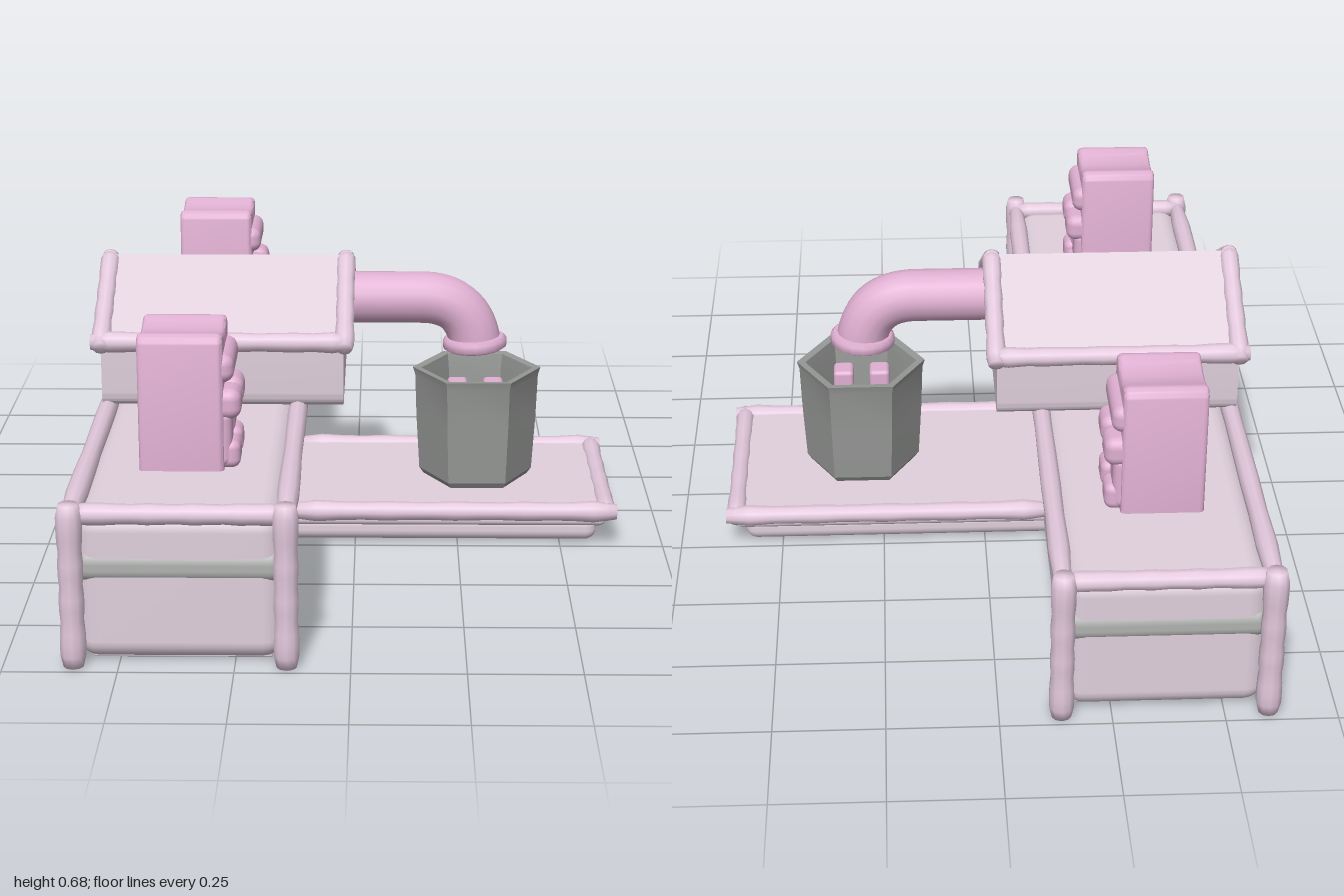
import * as THREE from 'three';
import { RoundedBoxGeometry } from 'three/addons/geometries/RoundedBoxGeometry.js';
import { toCreasedNormals } from 'three/addons/utils/BufferGeometryUtils.js';

const mat = (color, extra = {}) => new THREE.MeshStandardMaterial({ color, ...extra });
const PALE = mat(0xe0d0dc), TRIM = mat(0xe3c9dd), PINK = mat(0xe0b0d2);
const GREY = mat(0x969896, { side: THREE.DoubleSide }), BAND = mat(0xb0b2b0);

export function createModel() {
  const root = new THREE.Group();

  const add = (name, geo, material, x = 0, y = 0, z = 0, parent = root) => {
    const m = new THREE.Mesh(geo, material);
    m.name = name;
    m.position.set(x, y, z);
    parent.add(m);
    return m;
  };

  // Rounded box given by its lower and upper corners
  const block = (name, lo, hi, r, material, parent) => {
    const s = hi.map((v, i) => v - lo[i]);
    const c = hi.map((v, i) => (v + lo[i]) / 2);
    return add(name, new RoundedBoxGeometry(s[0], s[1], s[2], 3, r), material, ...c, parent);
  };

  // Hand-shaped round beam between two points, swollen at its ends
  const beam = (name, a, b, r = 0.025) => {
    const from = new THREE.Vector3(...a), to = new THREE.Vector3(...b);
    const len = from.distanceTo(to), pts = [new THREE.Vector2(0, 0)];
    const n = 14;
    for (let i = 0; i <= n; i++) {
      const t = i / n, end = Math.pow(Math.abs(2 * t - 1), 6);
      const w = i === 0 || i === n ? 0.75 : 0.9 + 0.25 * end + 0.05 * Math.sin(i * 2.1 + len * 7);
      pts.push(new THREE.Vector2(r * w, t * len));
    }
    pts.push(new THREE.Vector2(0, len));
    const m = add(name, new THREE.LatheGeometry(pts, 10), TRIM, ...a);
    m.quaternion.setFromUnitVectors(new THREE.Vector3(0, 1, 0), to.sub(from).normalize());
  };

  // Long hall with a grey band
  block('hall', [-0.59, 0.005, -0.955], [-0.145, 0.345, 0.955], 0.045, PALE);
  block('hallBand', [-0.594, 0.185, -0.959], [-0.141, 0.258, 0.959], 0.03, BAND);
  block('hallBase', [-0.56, 0, -0.92], [-0.17, 0.02, 0.92], 0.005, PALE);
  const xs = [-0.597, -0.138];
  for (const x of xs) {
    beam('hallTopBeam', [x, 0.34, -0.96], [x, 0.34, 0.96]);
    for (const s of [-1, 1]) beam('cornerPost', [x, 0.0, s * 0.965], [x, 0.372, s * 0.968], 0.03);
  }
  for (const s of [-1, 1]) beam('hallEndBeam', [xs[0], 0.343, s * 0.95], [xs[1], 0.343, s * 0.95]);

  // Front tray
  block('tray', [-0.2, 0.005, -0.235], [0.59, 0.07, 0.235], 0.028, PALE);
  block('trayTop', [-0.2, 0.05, -0.25], [0.61, 0.1, 0.25], 0.015, PALE);
  beam('trayFrontRim', [0.61, 0.09, -0.265], [0.61, 0.09, 0.265]);
  for (const s of [-1, 1]) beam('traySideRim', [-0.15, 0.09, s * 0.25], [0.635, 0.09, s * 0.25]);

  // Gabled house, overhanging the tray
  const gable = new THREE.Shape();
  gable.moveTo(-0.215, 0.35);
  gable.lineTo(0.215, 0.35);
  gable.quadraticCurveTo(0.237, 0.355, 0.237, 0.39);
  gable.lineTo(0.237, 0.51);
  gable.lineTo(0, 0.65);
  gable.lineTo(-0.237, 0.51);
  gable.lineTo(-0.237, 0.39);
  gable.quadraticCurveTo(-0.237, 0.355, -0.215, 0.35);
  const houseGeo = new THREE.ExtrudeGeometry(gable, { depth: 0.58, bevelEnabled: false });
  houseGeo.rotateY(Math.PI / 2);
  add('house', toCreasedNormals(houseGeo, 0.5), PALE, -0.608);

  const roof = new THREE.Shape([
    [0, 0.667], [-0.25, 0.52], [-0.25, 0.495], [0, 0.64], [0.25, 0.495], [0.25, 0.52],
  ].map(p => new THREE.Vector2(...p)));
  const roofGeo = new THREE.ExtrudeGeometry(roof, { depth: 0.585, bevelEnabled: false });
  roofGeo.rotateY(Math.PI / 2);
  add('roof', roofGeo, PALE, -0.61);
  for (const s of [-1, 1]) {
    for (const x of [-0.605, -0.025]) beam('gableBeam', [x, 0.663, -s * 0.012], [x, 0.505, s * 0.268]);
    beam('eaveBeam', [-0.63, 0.515, s * 0.248], [-0.01, 0.515, s * 0.248]);
  }

  // Spout curving out of the gable
  const path = new THREE.CurvePath();
  const v = (x, y) => new THREE.Vector3(x, y, 0);
  path.add(new THREE.LineCurve3(v(-0.04, 0.56), v(0.16, 0.56)));
  path.add(new THREE.QuadraticBezierCurve3(v(0.16, 0.56), v(0.28, 0.56), v(0.295, 0.44)));
  add('spout', new THREE.TubeGeometry(path, 30, 0.064, 16), PINK);
  const lip = [[0, 0], [0.07, 0], [0.079, 0.006], [0.079, 0.024], [0.07, 0.032], [0, 0.032]];
  add('spoutLip', new THREE.LatheGeometry(lip.map(p => new THREE.Vector2(...p)), 20), PINK, 0.295, 0.43)
    .rotation.z = 0.06;

  // Six-sided bucket with blocks inside
  const bucket = [[0, 0.1], [0.13, 0.1], [0.141, 0.115], [0.149, 0.25], [0.153, 0.36], [0.159, 0.38],
    [0.138, 0.378], [0.132, 0.34], [0.125, 0.25], [0, 0.25]];
  const bucketGeo = new THREE.LatheGeometry(bucket.map(p => new THREE.Vector2(...p)), 6, Math.PI / 2);
  add('bucket', toCreasedNormals(bucketGeo, 0.4), GREY, 0.3);
  for (const x of [0.255, 0.345]) {
    for (const z of [-0.07, 0.07]) {
      block('bucketBlock', [x - 0.025, 0.24, z - 0.03], [x + 0.025, 0.325, z + 0.03], 0.01, PINK);
    }
  }

  // Two carved blocks standing on the hall
  const crown = new THREE.Shape();
  crown.moveTo(-0.09, 0.34);
  crown.lineTo(0.09, 0.34);
  crown.lineTo(0.09, 0.635);
  crown.quadraticCurveTo(0.085, 0.653, 0.065, 0.645);
  crown.quadraticCurveTo(0, 0.62, -0.065, 0.645);
  crown.quadraticCurveTo(-0.085, 0.653, -0.09, 0.635);
  crown.closePath();
  for (const z of [-0.585, 0.585]) {
    const statue = new THREE.Group();
    statue.name = 'carvedBlock';
    statue.position.z = z;
    root.add(statue);
    const body = new THREE.ExtrudeGeometry(crown, {
      depth: 0.165, bevelThickness: 0.012, bevelSize: 0.01, bevelSegments: 3,
    });
    body.rotateY(Math.PI / 2);
    add('carvedBody', toCreasedNormals(body, 0.7), PINK, -0.463, 0, 0, statue);
    block('carvedBrow', [-0.34, 0.545, -0.095], [-0.262, 0.61, 0.095], 0.025, PINK, statue);
    for (const s of [-1, 1]) {
      const c = s * 0.049;
      block('carvedKnob', [-0.34, 0.46, c - 0.045], [-0.247, 0.53, c + 0.045], 0.025, PINK, statue);
      block('carvedFoot', [-0.34, 0.345, c - 0.038], [-0.25, 0.41, c + 0.038], 0.02, PINK, statue);
      block('carvedLeg', [-0.34, 0.35, c - 0.042], [-0.268, 0.48, c + 0.042], 0.02, PINK, statue);
    }
  }

  return root;
}
